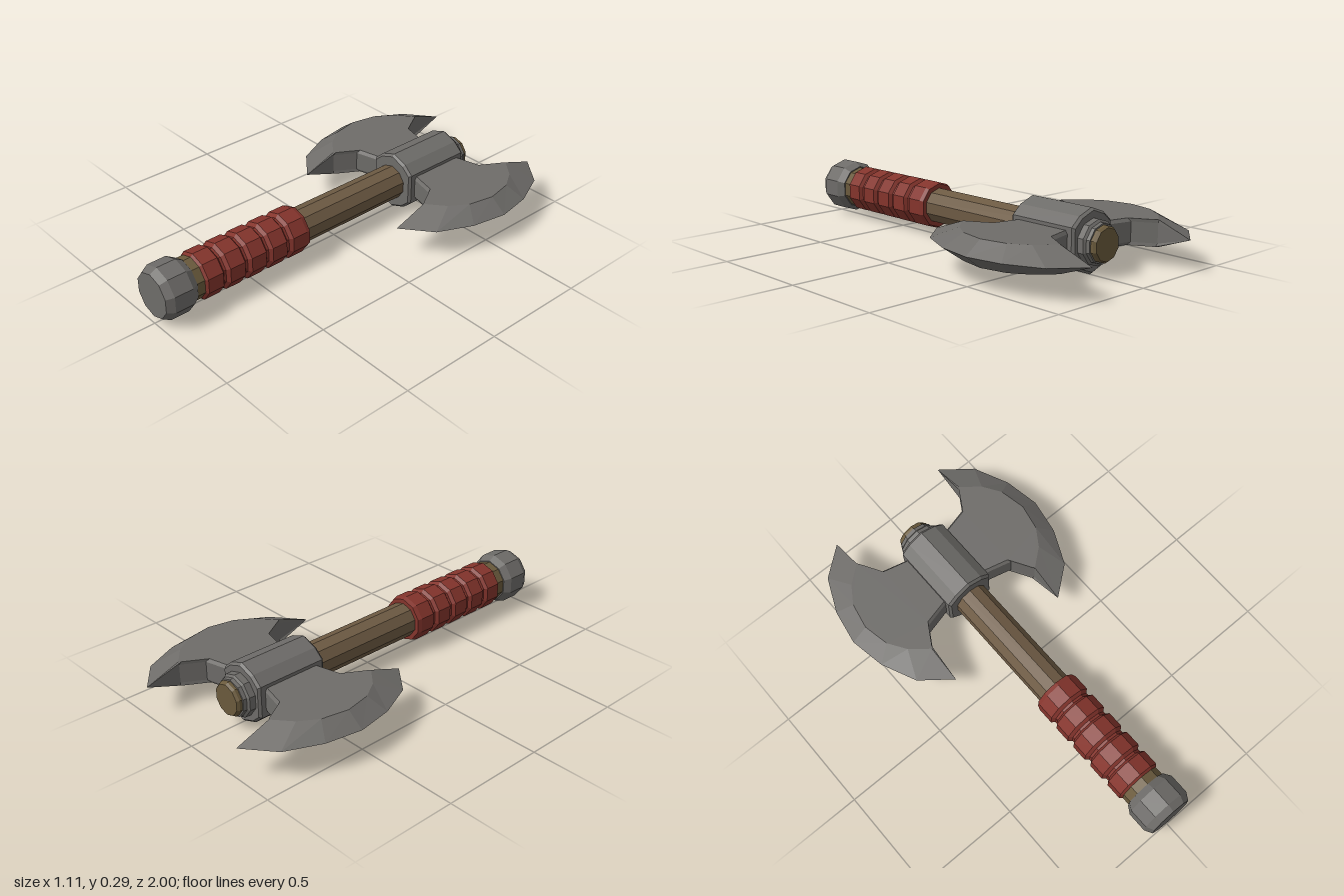
import * as THREE from 'three';

const steel = new THREE.MeshStandardMaterial({ color: 0x6e6c69 });
steel.name = 'steel';
const wood = new THREE.MeshStandardMaterial({ color: 0x6d5a43 });
wood.name = 'wood';
const bareWood = new THREE.MeshStandardMaterial({ color: 0x6a5a3c });
bareWood.name = 'bare wood';
const leather = new THREE.MeshStandardMaterial({ color: 0x84342c });
leather.name = 'red leather';

// Gives a geometry faceted normals
function faceted(geometry) {
  const g = geometry.index ? geometry.toNonIndexed() : geometry;
  g.computeVertexNormals();
  return g;
}

// Ten-sided turned part along z; profile holds [radius, z] with z rising
function turned(profile) {
  const points = profile.map(([r, z]) => new THREE.Vector2(r, z));
  return new THREE.LatheGeometry(points, 10).rotateX(Math.PI / 2);
}

function part(name, geometry, material) {
  const mesh = new THREE.Mesh(faceted(geometry), material);
  mesh.name = name;
  return mesh;
}

// Blade half outline, back to middle: flat face x, z; rim x, z; rim half height
const BLADE_MID = -0.55;
const BLADE_HALF = [
  [0.1, 0.13, 0.1, 0.14, 0.045],
  [0.24, 0.165, 0.25, 0.178, 0.045],
  [0.302, 0.27, 0.309, 0.278, 0.045],
  [0.31, 0.28, 0.31, 0.447, 0],
  [0.395, 0.21, 0.45, 0.335, 0],
  [0.45, 0.125, 0.525, 0.17, 0],
  [0.475, 0, 0.555, 0, 0],
];

// Double-bevelled crescent blade, reaching towards +x
function bladeGeometry() {
  const T = 0.06;
  const front = BLADE_HALF.map(([a, b, c, d, h]) => [a, BLADE_MID + b, c, BLADE_MID + d, h]);
  const back = BLADE_HALF.slice(0, -1).reverse()
    .map(([a, b, c, d, h]) => [a, BLADE_MID - b, c, BLADE_MID - d, h]);
  const outline = [...front, ...back];
  const n = outline.length;
  const pos = [];
  // Four stacked rings: top face, upper rim, lower rim, bottom face
  for (const p of outline) pos.push(p[0], T, p[1]);
  for (const p of outline) pos.push(p[2], p[4], p[3]);
  for (const p of outline) pos.push(p[2], -p[4], p[3]);
  for (const p of outline) pos.push(p[0], -T, p[1]);
  const index = [];
  const contour = outline.map((p) => new THREE.Vector2(p[0], -p[1]));
  for (const [a, b, c] of THREE.ShapeUtils.triangulateShape(contour, [])) {
    index.push(a, b, c, 3 * n + c, 3 * n + b, 3 * n + a);
  }
  for (let ring = 0; ring < 3; ring++) {
    for (let i = 0; i < n; i++) {
      const j = (i + 1) % n;
      // The sharp edge has no band between its two rims
      if (ring === 1 && outline[i][4] + outline[j][4] === 0) continue;
      const t = ring * n;
      const e = t + n;
      index.push(e + i, e + j, t + j, e + i, t + j, t + i);
    }
  }
  const g = new THREE.BufferGeometry();
  g.setAttribute('position', new THREE.Float32BufferAttribute(pos, 3));
  g.setIndex(index);
  return g;
}

// Head socket: a turned block squeezed sideways to get flat cheeks
function socketGeometry() {
  const g = turned([[0, -0.73], [0.133, -0.73], [0.144, -0.718], [0.144, -0.382], [0.133, -0.37], [0, -0.37]]);
  const p = g.attributes.position;
  for (let i = 0; i < p.count; i++) {
    const y = p.getY(i);
    p.setX(i, p.getX(i) * 0.88);
    if (Math.abs(y) < 0.06) p.setY(i, y * 1.7);
  }
  return g;
}

export function createModel() {
  const model = new THREE.Group();
  model.name = 'battleAxe';
  const axe = new THREE.Group();
  axe.name = 'axe';
  axe.position.y = 0.148;
  model.add(axe);

  // Handle
  axe.add(part('shaft', turned([[0.082, -0.72], [0.084, 0.3]]), wood));
  axe.add(part('shaftTip', turned([[0, -0.81], [0.073, -0.81], [0.081, -0.798], [0.081, -0.74]]), bareWood));
  axe.add(part('gripEndRing', turned([[0.1, 0.78], [0.1, 0.85]]), bareWood));

  // Wrapped grip: five bulges with grooves between them
  const grip = new THREE.Group();
  grip.name = 'grip';
  const bands = 5;
  const start = 0.23;
  const step = 0.115;
  for (let i = 0; i < bands; i++) {
    const a = start + i * step;
    const b = a + step;
    grip.add(part('gripBand' + (i + 1), turned([
      [i ? 0.096 : 0.08, a], [i ? 0.096 : 0.105, a + (i ? 0.008 : 0)],
      [0.112, a + 0.02], [0.112, b - 0.018], [0.096, b - 0.004],
      [i < bands - 1 ? 0.096 : 0.08, b],
    ]), leather));
  }
  axe.add(grip);

  // Pommel
  axe.add(part('pommel', turned([
    [0.08, 0.838], [0.105, 0.838], [0.126, 0.872], [0.126, 0.965], [0.106, 1.0], [0, 1.0],
  ]), steel));

  // Head
  axe.add(part('headSocket', socketGeometry(), steel));
  axe.add(part('headRing', turned([
    [0.08, -0.785], [0.088, -0.785], [0.09, -0.768], [0.101, -0.76], [0.101, -0.72],
  ]), steel));
  const blade = bladeGeometry();
  const leftBlade = part('leftBlade', blade, steel);
  const rightBlade = part('rightBlade', blade, steel);
  rightBlade.rotation.z = Math.PI;
  axe.add(leftBlade, rightBlade);

  return model;
}
